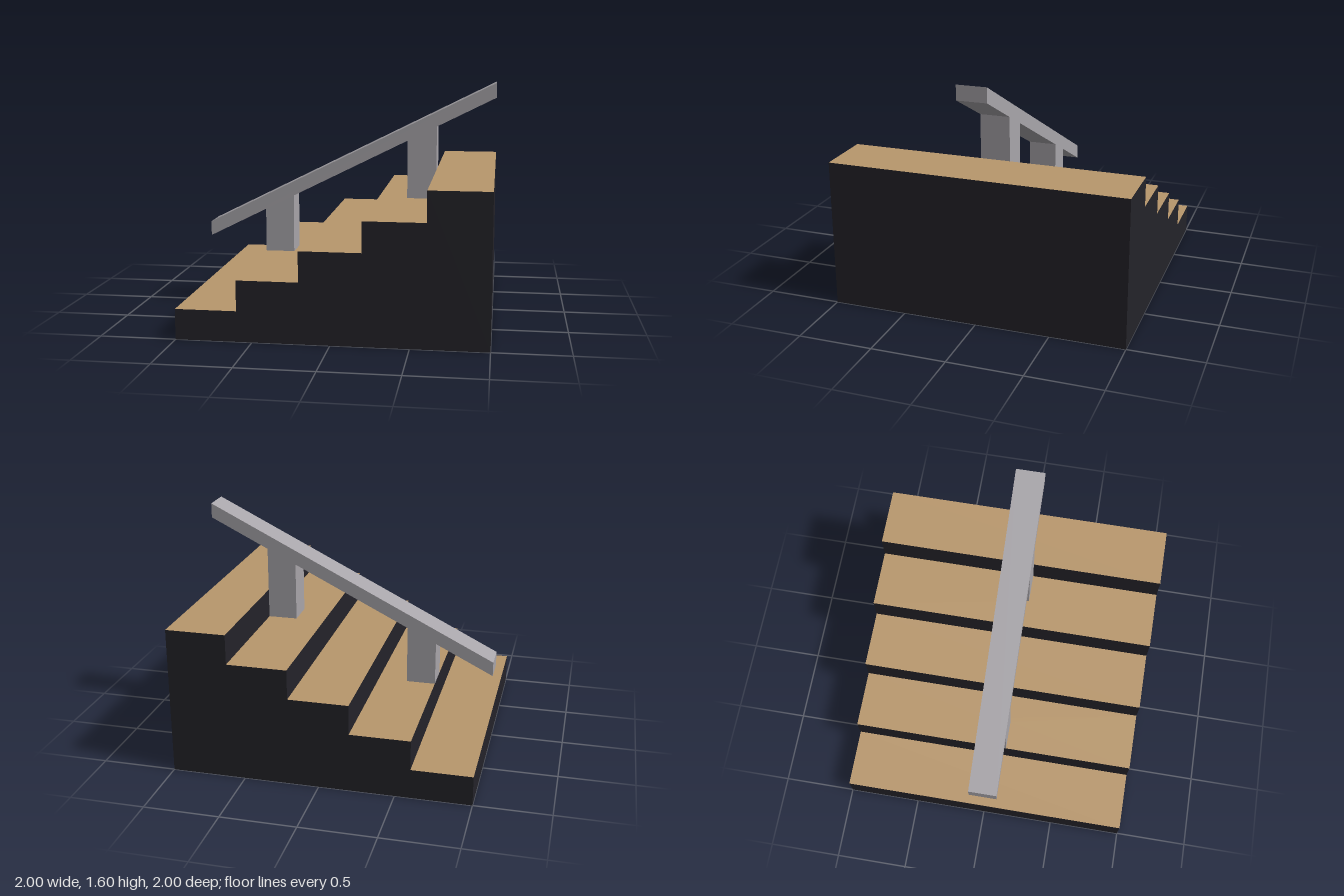
import * as THREE from 'three';
import { mergeGeometries } from 'three/addons/utils/BufferGeometryUtils.js';

const material = (color) => new THREE.MeshStandardMaterial({ color, flatShading: true, side: THREE.DoubleSide });
const STEPS = 5, RUN = 0.4, RISE = 0.2, HALF = 1, RAIL = 0.1;

const shapeOf = (pts) => new THREE.Shape(pts.map(([x, y]) => new THREE.Vector2(x, y)));

// Sheets spanning z = -w..w along a path that runs clockwise round the profile
function ribbon(path, w) {
  const pos = [];
  for (let i = 0; i + 1 < path.length; i++) {
    const [ax, ay] = path[i], [bx, by] = path[i + 1];
    pos.push(ax, ay, w, bx, by, w, bx, by, -w, ax, ay, w, bx, by, -w, ax, ay, -w);
  }
  const g = new THREE.BufferGeometry();
  g.setAttribute('position', new THREE.Float32BufferAttribute(pos, 3));
  g.computeVertexNormals();
  return g;
}

// Matching flat faces at z = w and z = -w, both facing outwards
function sides(pts, w) {
  const front = new THREE.ShapeGeometry(shapeOf(pts)).translate(0, 0, w);
  const back = new THREE.ShapeGeometry(shapeOf(pts.map(([x, y]) => [-x, y]))).rotateY(Math.PI).translate(0, 0, -w);
  return [front, back];
}

function merge(geometries) {
  return mergeGeometries(geometries.map((g) => {
    const flat = g.index ? g.toNonIndexed() : g;
    flat.deleteAttribute('uv');
    return flat;
  }));
}

export function createModel() {
  const model = new THREE.Group();
  const add = (name, geometry, mat) => {
    const mesh = new THREE.Mesh(geometry, mat);
    mesh.name = name;
    model.add(mesh);
  };
  const dark = material(0x242329), wood = material(0xb8976c), metal = material(0xa8a5aa);

  // Hollow staircase body, open underneath: risers, back wall and stepped sides
  const outline = [[-1, 0]];
  const walls = [];
  for (let i = 0; i < STEPS; i++) {
    const x = -1 + i * RUN, y = (i + 1) * RISE;
    outline.push([x, y], [x + RUN, y]);
    walls.push(ribbon([[x, y - RISE], [x, y]], HALF));
  }
  outline.push([1, 0]);
  walls.push(ribbon([[1, 1], [1, 0]], HALF));
  add('stairBody', merge([...walls, ...sides(outline, HALF)]), dark);

  // Treads, notched where the hollow posts pass through
  for (let i = 0; i < STEPS; i++) {
    const l = -1 + i * RUN, r = l + RUN, mid = l + RUN / 2;
    const pts = [[l, -HALF], [r, -HALF]];
    if (i === 3) pts.push([r, -RAIL], [mid, -RAIL], [mid, RAIL], [r, RAIL]);
    pts.push([r, HALF], [l, HALF]);
    if (i === 1) pts.push([l, RAIL], [mid, RAIL], [mid, -RAIL], [l, -RAIL]);
    const tread = new THREE.ShapeGeometry(shapeOf(pts)).rotateX(-Math.PI / 2).translate(0, (i + 1) * RISE, 0);
    add('tread' + (i + 1), tread, wood);
  }

  // Sloping handrail with two hollow posts, open at their feet
  const upper = [[-0.6, 0.4], [-0.6, 0.7], [-1, 0.5], [-1, 0.6], [1, 1.6], [1, 1.5], [0.6, 1.3], [0.6, 1]];
  const lower = [[0.4, 0.8], [0.4, 1.2], [-0.4, 0.8], [-0.4, 0.4]];
  const profile = [...upper, [0.6, 0.8], ...lower];
  add('handrail', merge([ribbon(upper, RAIL), ribbon(lower, RAIL), ...sides(profile, RAIL)]), metal);

  return model;
}
